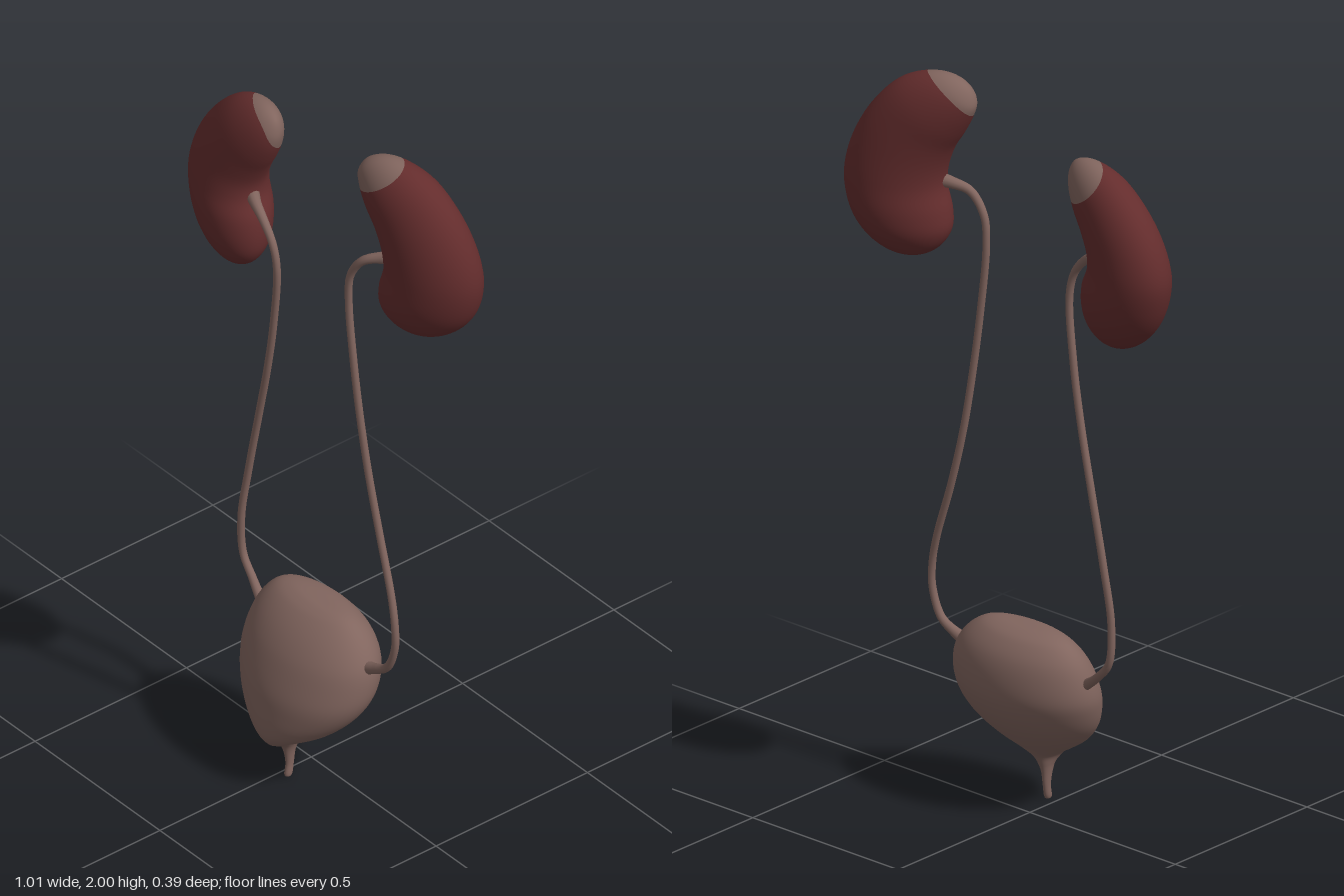
import * as THREE from 'three';
import { mergeVertices } from 'three/addons/utils/BufferGeometryUtils.js';

const V = (x, y, z) => new THREE.Vector3(x, y, z);

// Closed-around surface: point(t, angle) runs downwards in t, angle turns from +x to +z.
function surface(point, rows, cols) {
  const pos = [], index = [];
  for (let i = 0; i <= rows; i++)
    for (let j = 0; j < cols; j++) pos.push(...point(i / rows, (j / cols) * Math.PI * 2).toArray());
  for (let i = 0; i < rows; i++)
    for (let j = 0; j < cols; j++) {
      const k = (j + 1) % cols;
      const a = i * cols + j, b = a + cols, c = i * cols + k, d = c + cols;
      index.push(a, c, b, c, d, b);
    }
  let geo = new THREE.BufferGeometry();
  geo.setAttribute('position', new THREE.Float32BufferAttribute(pos, 3));
  geo.setIndex(index);
  geo = mergeVertices(geo, 1e-5);
  geo.computeVertexNormals();
  return geo;
}

// Point on a section spanning p (inner) to q (outer), with depth in proportion to width.
function sectionPoint(p, q, angle, side) {
  const half = q.clone().sub(p).multiplyScalar(0.5);
  const depth = half.length() * 0.74;
  return p.clone().add(half).addScaledVector(half, side * Math.cos(angle)).add(V(0, 0, depth * Math.sin(angle)));
}

// Bean-shaped organ from its outline: top tip, inner edge down, bottom tip, outer edge up.
function kidney(name, side, outline, zAt, split, bodyMat, capMat) {
  const loop = new THREE.CatmullRomCurve3(outline.map(([x, y]) => V(side * x, y, zAt(x, y))), true);
  const point = (t, a) => sectionPoint(loop.getPoint(t / 2), loop.getPoint(1 - t / 2), a, side);
  const group = new THREE.Group();
  group.name = name;
  const cap = new THREE.Mesh(surface((t, a) => point(t * split(a), a), 16, 48), capMat);
  cap.name = name + 'Cap';
  const body = new THREE.Mesh(
    surface((t, a) => point(split(a) + t * (1 - split(a)), a), 48, 48), bodyMat);
  body.name = name + 'Body';
  group.add(cap, body);
  return group;
}

// Thin tube that flares at both ends.
function ureter(name, points, mat) {
  const curve = new THREE.CatmullRomCurve3(points.map((p) => V(...p)));
  const n = 120, sides = 12;
  const geo = new THREE.TubeGeometry(curve, n, 0.01, sides);
  const pos = geo.attributes.position, p = V(0, 0, 0);
  for (let i = 0; i <= n; i++) {
    const u = i / n, c = curve.getPointAt(u);
    const scale = 1 + 1.5 * Math.exp(-u * 28) + 1.1 * Math.exp(-(1 - u) * 32);
    for (let j = 0; j <= sides; j++) {
      const k = i * (sides + 1) + j;
      p.fromBufferAttribute(pos, k).sub(c).multiplyScalar(scale).add(c);
      pos.setXYZ(k, p.x, p.y, p.z);
    }
  }
  const mesh = new THREE.Mesh(geo, mat);
  mesh.name = name;
  return mesh;
}

export function createModel() {
  const red = new THREE.MeshStandardMaterial({ name: 'darkRed', color: 0x642d2d });
  const tan = new THREE.MeshStandardMaterial({ name: 'greyBrown', color: 0x81655e });
  const model = new THREE.Group();
  model.name = 'urinarySystem';

  // Kidneys
  const leftOutline = [
    [0.172, 1.968],
    [0.155, 1.925], [0.165, 1.89], [0.19, 1.84], [0.22, 1.79], [0.24, 1.73],
    [0.243, 1.68], [0.226, 1.62], [0.222, 1.57], [0.24, 1.53], [0.27, 1.503],
    [0.312, 1.488],
    [0.355, 1.49], [0.4, 1.507], [0.45, 1.547], [0.487, 1.605], [0.505, 1.69],
    [0.49, 1.78], [0.44, 1.882], [0.36, 1.967], [0.275, 1.998], [0.215, 1.994],
  ];
  const rightOutline = [
    [0.193, 1.878],
    [0.18, 1.84], [0.185, 1.8], [0.205, 1.75], [0.232, 1.7], [0.25, 1.65],
    [0.248, 1.61], [0.225, 1.56], [0.217, 1.5], [0.226, 1.452], [0.257, 1.41],
    [0.305, 1.39],
    [0.352, 1.396], [0.405, 1.424], [0.455, 1.475], [0.49, 1.54], [0.508, 1.62],
    [0.49, 1.705], [0.44, 1.79], [0.36, 1.865], [0.285, 1.894], [0.228, 1.895],
  ];
  model.add(
    kidney('leftKidney', 1, leftOutline,
      (x, y) => -0.087 - 0.2 * (x - 0.34) + 0.04 * (y - 1.74),
      (a) => 0.18 + 0.05 * Math.sin(a) + 0.02 * Math.cos(a), red, tan),
    kidney('rightKidney', -1, rightOutline,
      (x, y) => -0.038 - 0.1 * (x - 0.34) - 0.08 * (y - 1.64),
      (a) => 0.19 - 0.08 * Math.sin(a) - 0.01 * Math.cos(a), red, tan));

  // Ureters, from kidney to bladder
  model.add(
    ureter('leftUreter', [
      [0.28, 1.7, -0.06], [0.235, 1.69, -0.035], [0.195, 1.67, -0.01], [0.158, 1.61, 0],
      [0.15, 1.53, 0], [0.17, 1.34, 0], [0.195, 1.155, -0.004], [0.22, 1, -0.01],
      [0.26, 0.84, -0.012], [0.315, 0.68, -0.005], [0.335, 0.6, 0], [0.335, 0.53, 0],
      [0.305, 0.455, 0], [0.265, 0.428, 0.002], [0.22, 0.41, 0.005],
    ], tan),
    ureter('rightUreter', [
      [-0.28, 1.62, -0.03], [-0.235, 1.61, -0.01], [-0.195, 1.59, 0], [-0.15, 1.54, 0.005],
      [-0.132, 1.47, 0.005], [-0.15, 1.29, 0], [-0.178, 1.13, -0.003], [-0.22, 0.96, -0.01],
      [-0.26, 0.76, -0.008], [-0.28, 0.6, 0], [-0.272, 0.49, 0], [-0.23, 0.44, 0.005],
      [-0.185, 0.405, 0.015], [-0.15, 0.385, 0.02],
    ], tan));

  // Bladder and outlet: rows of height, x range, z range
  const rows = [
    [0.52, 0.03, 0.03, 0.005, 0.005], [0.516, -0.07, 0.12, -0.035, 0.035],
    [0.5, -0.125, 0.165, -0.068, 0.066], [0.46, -0.163, 0.213, -0.1, 0.107],
    [0.41, -0.183, 0.243, -0.115, 0.14], [0.35, -0.19, 0.25, -0.116, 0.165],
    [0.3, -0.178, 0.242, -0.1, 0.18], [0.25, -0.153, 0.215, -0.07, 0.187],
    [0.2, -0.107, 0.167, -0.025, 0.19], [0.16, -0.05, 0.107, 0.02, 0.184],
    [0.13, -0.005, 0.06, 0.05, 0.162], [0.105, 0.007, 0.044, 0.065, 0.122],
    [0.08, 0.012, 0.037, 0.074, 0.11], [0.04, 0.016, 0.034, 0.08, 0.104],
    [0.005, 0.018, 0.034, 0.088, 0.108], [0, 0.026, 0.026, 0.098, 0.098],
  ];
  const low = new THREE.CatmullRomCurve3(rows.map(([y, x0, , z0]) => V(x0, y, z0)));
  const high = new THREE.CatmullRomCurve3(rows.map(([y, , x1, , z1]) => V(x1, y, z1)));
  const bladder = new THREE.Mesh(surface((t, a) => {
    const p = low.getPoint(t), q = high.getPoint(t);
    const c = p.clone().add(q).multiplyScalar(0.5), h = q.sub(p).multiplyScalar(0.5);
    return V(c.x + h.x * Math.cos(a), c.y, c.z + h.z * Math.sin(a));
  }, 75, 56), tan);
  bladder.name = 'bladder';
  model.add(bladder);
  return model;
}
